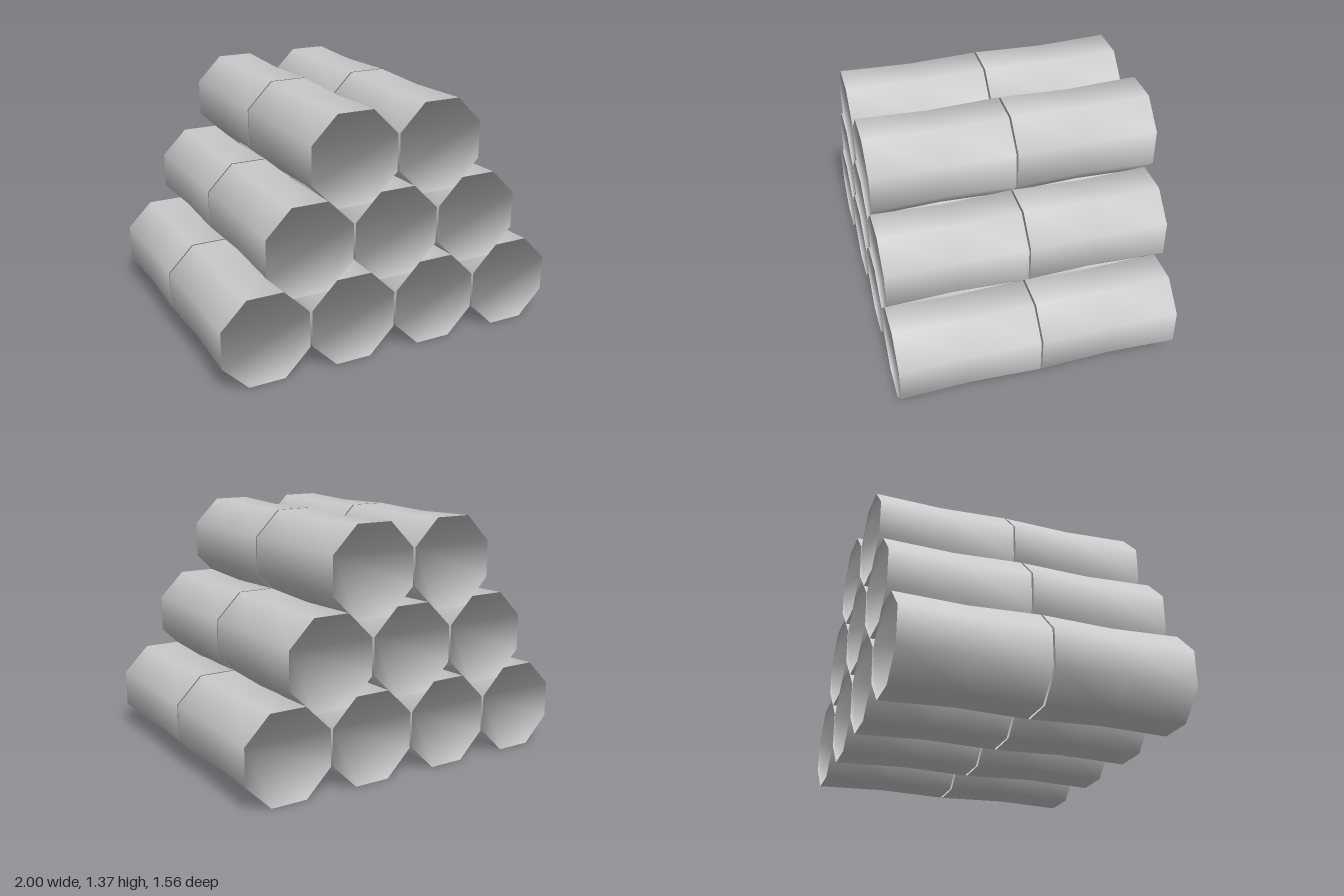
import * as THREE from 'three';

const SIDES = 8;
const APOTHEM = 0.245;
const LENGTH = 0.773;
const SPACING = 0.503;
const ROW_STEP = 0.4405;

// Octagonal log along z: flared ends, slightly narrower waist, flat ends
function logGeometry() {
  const rings = [
    [LENGTH / 2, APOTHEM],
    [0, APOTHEM - 0.011],
    [-LENGTH / 2, APOTHEM],
  ];
  const positions = [];
  for (const [z, apothem] of rings) {
    const radius = apothem / Math.cos(Math.PI / SIDES);
    for (let i = 0; i < SIDES; i++) {
      const a = ((i + 0.5) / SIDES) * Math.PI * 2;
      positions.push(radius * Math.cos(a), radius * Math.sin(a), z);
    }
  }

  // bark faces
  const index = [];
  for (let r = 0; r < rings.length - 1; r++) {
    for (let i = 0; i < SIDES; i++) {
      const a = r * SIDES + i;
      const b = r * SIDES + ((i + 1) % SIDES);
      index.push(a, a + SIDES, b, b, a + SIDES, b + SIDES);
    }
  }
  const geometry = new THREE.BufferGeometry();
  geometry.setAttribute('position', new THREE.Float32BufferAttribute(positions, 3));
  geometry.setIndex(index);
  geometry.computeVertexNormals();

  // end faces share the smooth rim normals of the bark
  const last = (rings.length - 1) * SIDES;
  for (let i = 1; i < SIDES - 1; i++) {
    index.push(0, i, i + 1);
    index.push(last, last + i + 1, last + i);
  }
  geometry.setIndex(index);
  return geometry;
}

export function createModel() {
  const model = new THREE.Group();
  model.name = 'logPile';
  const geometry = logGeometry();
  const material = new THREE.MeshStandardMaterial({ color: 0xcccccc });

  // two stacks end to end, each with rows of four, three and two logs
  for (const side of [1, -1]) {
    const stack = new THREE.Group();
    stack.name = side > 0 ? 'frontStack' : 'backStack';
    stack.position.z = side * (LENGTH / 2 + 0.005);
    [4, 3, 2].forEach((count, row) => {
      for (let i = 0; i < count; i++) {
        const log = new THREE.Mesh(geometry, material);
        log.name = 'log';
        log.position.set((i - (count - 1) / 2) * SPACING, APOTHEM + row * ROW_STEP, 0);
        stack.add(log);
      }
    });
    model.add(stack);
  }
  return model;
}
